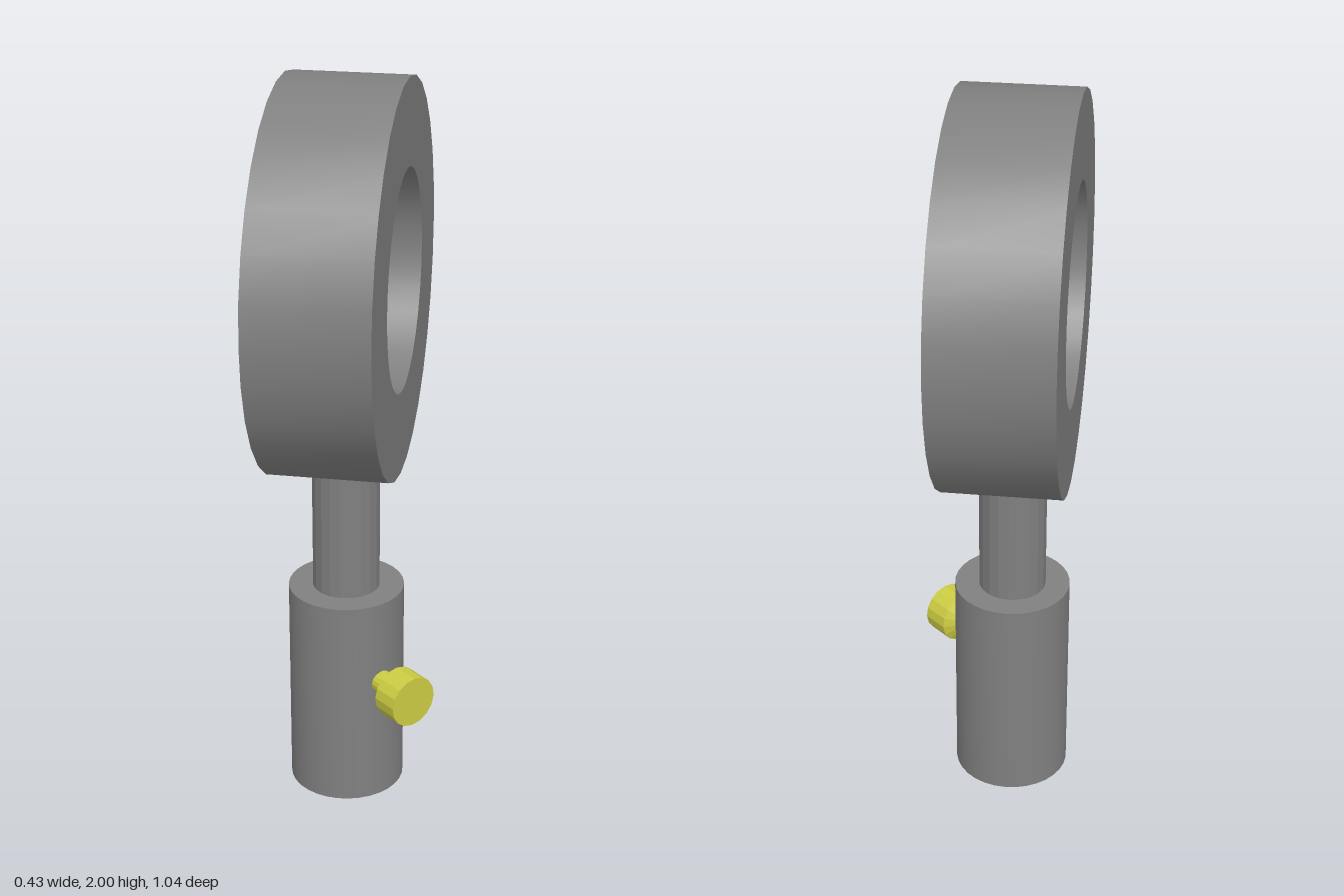
import * as THREE from 'three';
import { toCreasedNormals } from 'three/addons/utils/BufferGeometryUtils.js';

const AXIS_X = -0.055; // centre line of post and base

// Turned part: profile of [radius, height] pairs; edges sharper than the crease angle stay hard
function turned(name, profile, segments, material, crease = Math.PI / 6) {
  const points = profile.map(([r, h]) => new THREE.Vector2(r, h));
  const geometry = toCreasedNormals(new THREE.LatheGeometry(points, segments), crease);
  const mesh = new THREE.Mesh(geometry, material);
  mesh.name = name;
  return mesh;
}

export function createModel() {
  const model = new THREE.Group();
  model.name = 'ringHolder';
  const grey = new THREE.MeshStandardMaterial({ color: 0x808080 });
  const yellow = new THREE.MeshStandardMaterial({ color: 0xcccc44 });
  const faceted = 0.1;

  // Base sleeve
  const base = turned('base', [[0, 0], [0.158, 0], [0.158, 0.6], [0, 0.6]], 32, grey);
  base.position.x = AXIS_X;

  // Faceted post, running slightly into the ring wall
  const post = turned('post', [[0, 0.59], [0.092, 0.59], [0.092, 1.03], [0, 1.03]], 20, grey, faceted);
  post.position.x = AXIS_X;

  // Thick ring with its axis along x, a flat side at the very top
  const outer = 0.519, inner = 0.291, half = 0.158;
  const ring = turned('ring', [
    [outer, -half], [outer, half], [inner, half], [inner, -half], [outer, -half],
  ], 30, grey);
  ring.rotation.z = Math.PI / 2;
  ring.position.set(-0.057, 1.484, 0);

  // Thumb screw: thin shank, tapered neck and round head, pointing out diagonally
  const screw = turned('thumbScrew', [
    [0, 0.1], [0.032, 0.1], [0.032, 0.197], [0.071, 0.219], [0.071, 0.294], [0, 0.294],
  ], 16, yellow, faceted);
  screw.quaternion.setFromUnitVectors(
    new THREE.Vector3(0, 1, 0), new THREE.Vector3(1, 0, 0.91).normalize());
  screw.position.set(AXIS_X, 0.36, 0);

  model.add(base, post, ring, screw);
  return model;
}
